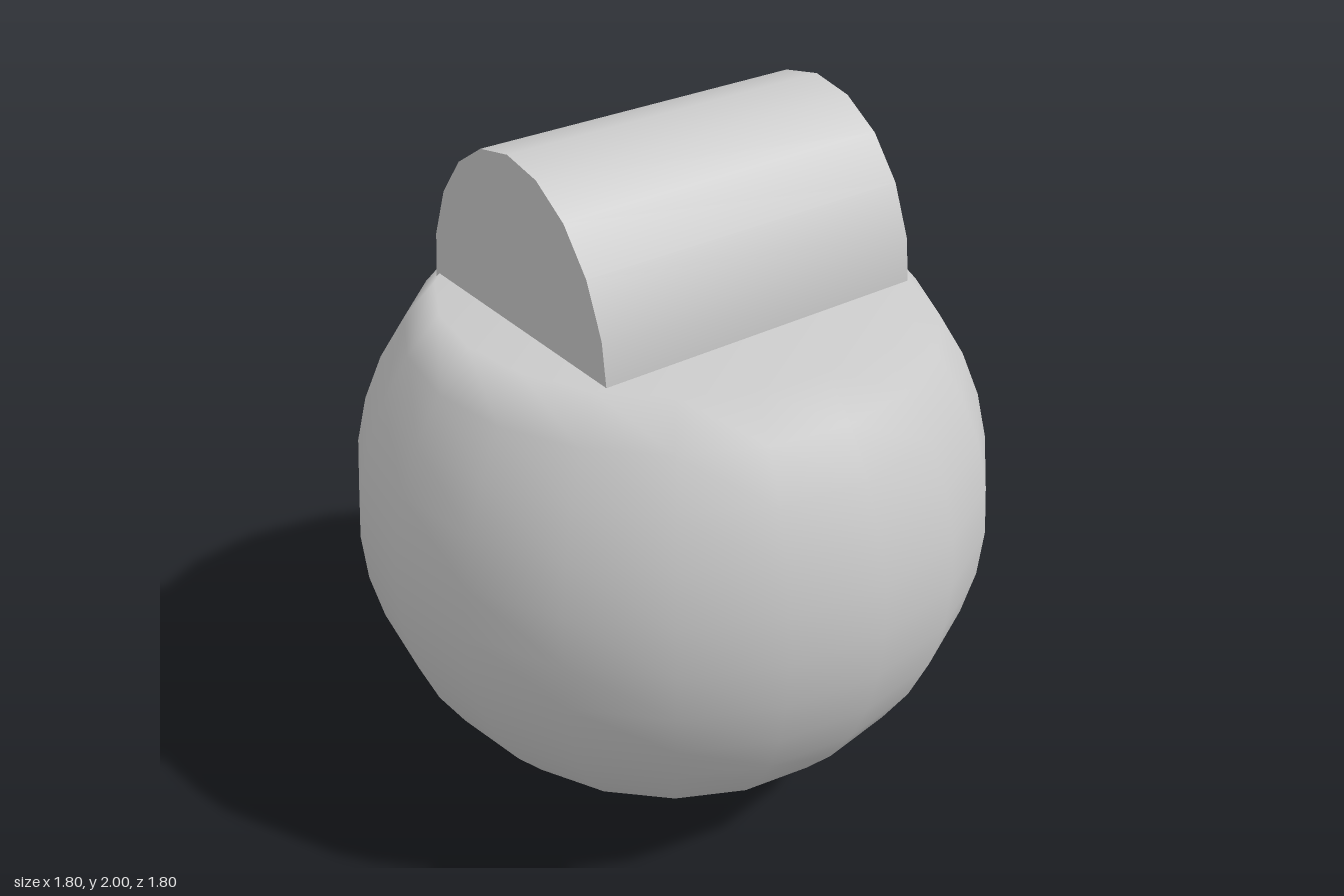
import * as THREE from 'three';

export function createModel() {
  const group = new THREE.Group();
  const material = new THREE.MeshStandardMaterial({ color: 0xcccccc });
  const sides = 20;

  // Round body: sphere profile from the bottom pole up to 45 degrees, closed by a flat top
  const radius = 0.9;
  const steps = 15;
  const profile = [];
  for (let i = 0; i <= steps; i++) {
    const a = (i / steps) * Math.PI * 0.75;
    profile.push(new THREE.Vector2(radius * Math.sin(a), radius * (1 - Math.cos(a))));
  }
  profile.push(new THREE.Vector2(0, profile[steps].y));
  const body = new THREE.Mesh(new THREE.LatheGeometry(profile, sides), material);
  body.name = 'body';
  group.add(body);

  // Oval cylinder lying along x, half sunk into the flat top
  const barrel = new THREE.CylinderGeometry(1, 1, 0.985, sides);
  barrel.rotateZ(Math.PI / 2);
  barrel.scale(1, 0.5, 0.408);
  const top = new THREE.Mesh(barrel, material);
  top.name = 'topCylinder';
  top.position.set(0.0125, 1.5, -0.0225);
  group.add(top);

  return group;
}
